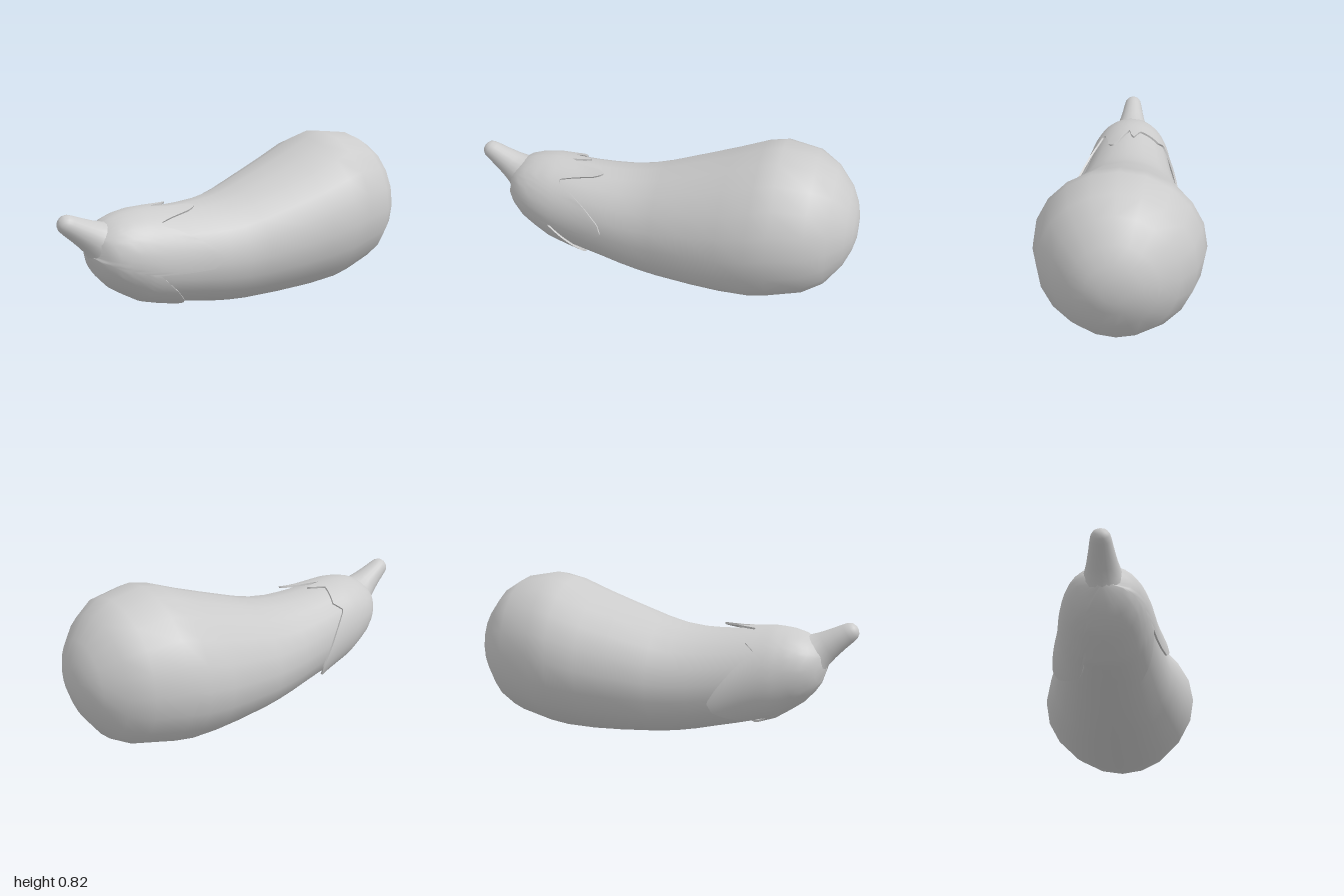
import * as THREE from 'three';

const material = new THREE.MeshStandardMaterial({ color: 0xcccccc, side: THREE.DoubleSide });

// Fruit sections from blossom end to nose: z, top y, bottom y, half width
const SECTIONS = [
  [-1.0, 0.5, 0.38, 0.06], [-0.985, 0.56, 0.32, 0.13], [-0.95, 0.64, 0.235, 0.2],
  [-0.87, 0.74, 0.125, 0.29], [-0.77, 0.8, 0.07, 0.365], [-0.6, 0.828, 0.025, 0.404],
  [-0.5, 0.803, 0.01, 0.415], [-0.35, 0.742, 0.003, 0.393], [-0.2, 0.687, 0.005, 0.364],
  [0, 0.617, 0.014, 0.32], [0.1, 0.59, 0.025, 0.298], [0.2, 0.576, 0.042, 0.278],
  [0.3, 0.573, 0.064, 0.259], [0.4, 0.575, 0.085, 0.242], [0.5, 0.582, 0.108, 0.227],
  [0.6, 0.585, 0.14, 0.211], [0.68, 0.575, 0.19, 0.19], [0.74, 0.555, 0.235, 0.165],
  [0.79, 0.52, 0.295, 0.125], [0.825, 0.48, 0.35, 0.075], [0.838, 0.425, 0.405, 0.01],
];

// Calyx rim: angle in degrees (from the top towards +x), z of the edge
const RIM = [
  [0, 0.5], [8, 0.42], [13, 0.32], [18, 0.3], [23, 0.33], [28, 0.43], [36, 0.52], [42, 0.52],
  [48, 0.46], [62, 0.36], [75, 0.28], [85, 0.26], [93, 0.31], [98, 0.45], [102, 0.58],
  [125, 0.47], [142, 0.41], [152, 0.4], [162, 0.43], [185, 0.5], [207, 0.57], [212, 0.47],
  [225, 0.4], [240, 0.33], [253, 0.31], [265, 0.35], [285, 0.43], [305, 0.52], [318, 0.47],
  [335, 0.49], [346, 0.5], [355, 0.39], [360, 0.5],
];

// Linear lookup in a table sorted by its first column
function lookup(table, key) {
  let i = 1;
  while (i < table.length - 1 && table[i][0] < key) i++;
  const a = table[i - 1], b = table[i];
  const t = THREE.MathUtils.clamp((key - a[0]) / (b[0] - a[0]), 0, 1);
  return a.map((v, k) => v + (b[k] - v) * t);
}

// Point on the fruit at depth z and angle, pushed out by an offset
function surfacePoint(z, angle, offset = 0) {
  const [, top, bottom, half] = lookup(SECTIONS, z);
  const forward = THREE.MathUtils.smoothstep(z, 0.65, 0.84) * offset;
  return [
    Math.sin(angle) * (half + offset),
    (top + bottom) / 2 + Math.cos(angle) * ((top - bottom) / 2 + offset),
    z + forward,
  ];
}

// Smooth skin over closed rows of points, running towards +z
function loft(rows) {
  const n = rows[0].length, index = [];
  for (let i = 0; i < rows.length - 1; i++) {
    for (let j = 0; j < n; j++) {
      const k = (j + 1) % n;
      const a = i * n + j, b = i * n + k, c = a + n, d = b + n;
      index.push(a, c, b, b, c, d);
    }
  }
  const geometry = new THREE.BufferGeometry();
  geometry.setAttribute('position', new THREE.Float32BufferAttribute(rows.flat(2), 3));
  geometry.setIndex(index);
  geometry.computeVertexNormals();
  return geometry;
}

function addMesh(group, name, geometry) {
  const mesh = new THREE.Mesh(geometry, material);
  mesh.name = name;
  group.add(mesh);
  return mesh;
}

const ring = (n, point) => Array.from({ length: n }, (_, j) => point((j / n) * Math.PI * 2));

export function createModel() {
  const group = new THREE.Group();
  group.name = 'eggplant';

  // Fruit, closed by a collapsed ring at the blossom end
  const fruitRows = SECTIONS.map(([z]) => ring(20, (a) => surfacePoint(z, a)));
  fruitRows.unshift(ring(20, () => [0, 0.44, -1]));
  addMesh(group, 'fruit', loft(fruitRows));

  // Calyx: thin cap whose pointed leaves lift away from the fruit
  const columns = 120, steps = 14, nose = 0.838;
  const capRow = (t, thickness) => ring(columns, (a) => {
    const edge = lookup(RIM, THREE.MathUtils.radToDeg(a))[1];
    const z = edge + (nose - edge) * t;
    const curl = Math.max(0, (0.52 - z) / 0.25) ** 2;
    const lift = 0.012 + 0.024 * curl * (a > Math.PI ? 1.4 : a > 1 ? 0.5 : 0.8);
    return surfacePoint(z, a, lift - thickness);
  });
  // underside, rim, then the outer skin; the repeated rows keep the rim crisp
  const capRows = [capRow(0.3, 0.01), capRow(0.12, 0.01), capRow(0, 0.01), capRow(0, 0.01), capRow(0, 0)];
  for (let i = 0; i <= steps; i++) capRows.push(capRow(i / steps, 0));
  addMesh(group, 'calyx', loft(capRows));

  // Stem: tapered, flared at the base, rounded at the tip
  const profile = [
    [0.15, -0.09], [0.115, -0.04], [0.088, 0], [0.073, 0.05], [0.06, 0.11], [0.05, 0.165],
    [0.044, 0.19], [0.032, 0.207], [0.016, 0.215], [0, 0.217],
  ].map(([r, y]) => new THREE.Vector2(r, y));
  const stem = addMesh(group, 'stem', new THREE.LatheGeometry(profile, 20));
  stem.position.set(0, 0.485, 0.808);
  stem.rotation.x = THREE.MathUtils.degToRad(57);

  return group;
}
